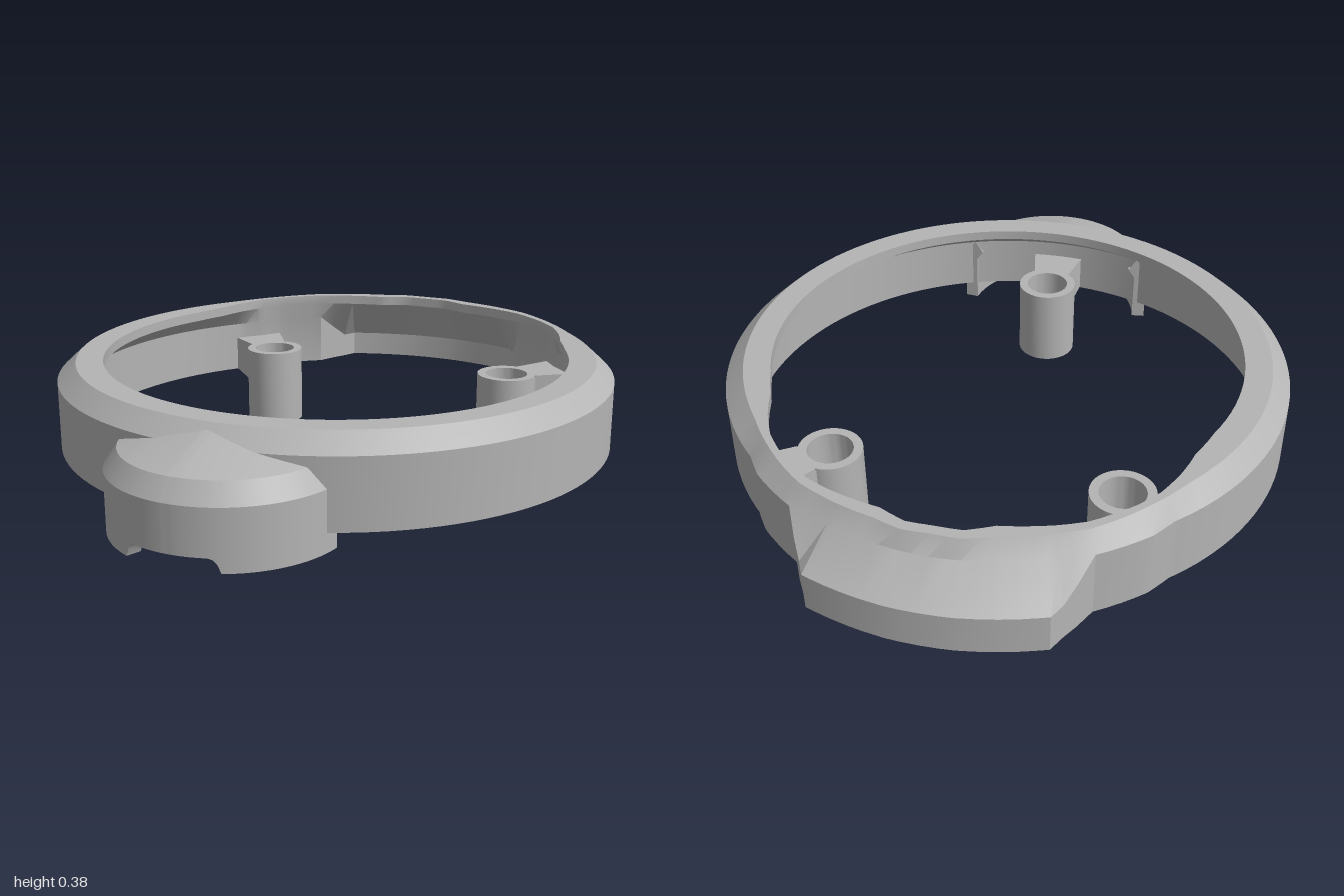
import * as THREE from 'three';
import { toCreasedNormals } from 'three/addons/utils/BufferGeometryUtils.js';

const RING_Z = -0.02;

// Skin a series of closed cross-sections; capped unless the loop closes on itself.
function loft(sections, closed) {
  const n = sections[0].length, m = sections.length;
  const idx = [];
  for (let i = 0; i < (closed ? m : m - 1); i++) {
    const k = (i + 1) % m;
    for (let j = 0; j < n; j++) {
      const l = (j + 1) % n;
      const a = i * n + j, b = k * n + j, c = k * n + l, d = i * n + l;
      idx.push(a, b, c, a, c, d);
    }
  }
  if (!closed) {
    const e = (m - 1) * n;
    for (let j = 0; j < n / 2 - 1; j++) {
      const a = j, b = j + 1, c = n - 2 - j, d = n - 1 - j;
      idx.push(a, b, c, a, c, d);
      idx.push(e + a, e + c, e + b, e + a, e + d, e + c);
    }
  }
  const g = new THREE.BufferGeometry();
  g.setAttribute('position', new THREE.Float32BufferAttribute(sections.flat(2), 3));
  g.setIndex(idx);
  return toCreasedNormals(g, 0.4);
}

// Ring shape by degrees away from the back:
// [angle, outer radius, wall top, slope radius, slope height, top edge radius, hole radius]
const RING = [
  [0, 0.98, 0.25, 0.87, 0.335, 0.84, 0.81],
  [5.4, 0.98, 0.25, 0.868, 0.335, 0.844, 0.813],
  [11, 0.977, 0.25, 0.865, 0.335, 0.83, 0.79],
  [19.2, 0.974, 0.25, 0.86, 0.335, 0.828, 0.795],
  [21.4, 0.94, 0.25, 0.86, 0.335, 0.827, 0.797],
  [27.5, 0.868, 0.335, 0.847, 0.36, 0.826, 0.80],
  [38.3, 0.854, 0.335, 0.828, 0.36, 0.803, 0.783],
  [43.5, 0.835, 0.335, 0.815, 0.36, 0.793, 0.771],
  [50, 0.835, 0.335, 0.808, 0.36, 0.782, 0.745],
  [57.6, 0.835, 0.335, 0.808, 0.36, 0.78, 0.712],
  [66, 0.835, 0.335, 0.808, 0.36, 0.78, 0.70],
  [180, 0.835, 0.335, 0.808, 0.36, 0.78, 0.70],
];

function ringAt(deg) {
  let i = 1;
  while (RING[i][0] < deg && i < RING.length - 1) i++;
  const a = RING[i - 1], b = RING[i], t = (deg - a[0]) / (b[0] - a[0]);
  return a.map((v, k) => v + (b[k] - v) * t);
}

function ringGeometry() {
  const half = RING.map((r) => r[0]);
  for (let d = 3; d < 180; d += 3) {
    if (half.every((h) => Math.abs(h - d) > 0.7)) half.push(d);
  }
  half.sort((a, b) => a - b);
  const degs = [...half.slice(1).reverse().map((d) => -d), ...half.slice(0, -1)];
  return loft(degs.map((deg) => {
    const [, ro, yo, rm, ym, rt, rh] = ringAt(Math.abs(deg));
    const ri = ro - 0.05;
    const th = Math.PI + THREE.MathUtils.degToRad(deg);
    const profile = [[ro, 0.135], [ro, yo], [rm, ym], [rt, 0.385],
      [rh, 0.385], [rh, 0.355], [ri, yo - 0.035], [ri, 0.135]];
    return profile.map(([r, y]) => [r * Math.sin(th), y, RING_Z + r * Math.cos(th)]);
  }), true);
}

// Hollow rounded housing at the front, with a notch in its lower edge.
function housingGeometry() {
  const sections = [], steps = 96, span = THREE.MathUtils.degToRad(83);
  for (let i = 0; i <= steps; i++) {
    const th = -span + (2 * span * i) / steps;
    const s = Math.sin(th), c = Math.cos(th);
    const at = (r, y) => [r * s, y, 0.67 + r * c];
    const t = THREE.MathUtils.clamp((0.13 - Math.abs(0.325 * s)) / 0.03, 0, 1);
    const bottom = 0.08 + 0.04 * Math.sqrt(1 - (1 - t) ** 2);
    // inner end of the roof runs along the ring chamfer
    const x = 0.28 * s, y = 0.305 + 0.07 * (1 - Math.abs(s));
    const r = 0.825 - Math.max(0, y - 0.335) * 1.1;
    const z = RING_Z + Math.sqrt(r * r - x * x);
    sections.push([at(0.325, bottom), at(0.325, 0.25), at(0.288, 0.305), [x, y, z],
      [x, y - 0.045, z], at(0.262, 0.265), at(0.283, 0.235), at(0.283, bottom)]);
  }
  return loft(sections, false);
}

// Tubular post with a flat rib and a flared arm reaching out to the ring wall (+z).
function makePost(material) {
  const post = new THREE.Group();
  const add = (name, geometry) => {
    const mesh = new THREE.Mesh(geometry, material);
    mesh.name = name;
    post.add(mesh);
  };
  const h = 0.25, ro = 0.094, ri = 0.067;
  const profile = [[ri, 0], [ro, 0], [ro, h], [ri, h], [ri, 0]].map((p) => new THREE.Vector2(...p));
  add('postTube', toCreasedNormals(new THREE.LatheGeometry(profile, 40), 0.5));

  add('postRib', new THREE.BoxGeometry(0.12, 0.24, 0.026).translate(0, 0.125, 0.084));

  const arm = new THREE.BoxGeometry(1, 1, 1);
  const p = arm.attributes.position;
  for (let i = 0; i < p.count; i++) {
    const far = p.getZ(i) > 0, top = p.getY(i) > 0;
    p.setXYZ(i, Math.sign(p.getX(i)) * (far ? 0.085 : 0.06),
      top ? 0.25 : far ? 0.14 : 0.11, far ? 0.2 : 0.075);
  }
  arm.computeVertexNormals();
  add('postArm', arm);
  return post;
}

export function createModel() {
  const model = new THREE.Group();
  model.name = 'mountingRing';
  const grey = new THREE.MeshStandardMaterial({ color: 0xb4b4b4 });
  grey.name = 'plain grey';

  const ring = new THREE.Mesh(ringGeometry(), grey);
  ring.name = 'ring';
  const housing = new THREE.Mesh(housingGeometry(), grey);
  housing.name = 'frontHousing';
  model.add(ring, housing);

  // Three posts, each turned to face outward
  for (const [name, x, z] of [['frontPost', 0, 0.575], ['backLeftPost', 0.42, -0.445], ['backRightPost', -0.42, -0.445]]) {
    const post = makePost(grey);
    post.name = name;
    post.position.set(x, 0, z);
    post.rotation.y = Math.atan2(x, z - RING_Z);
    model.add(post);
  }
  return model;
}
